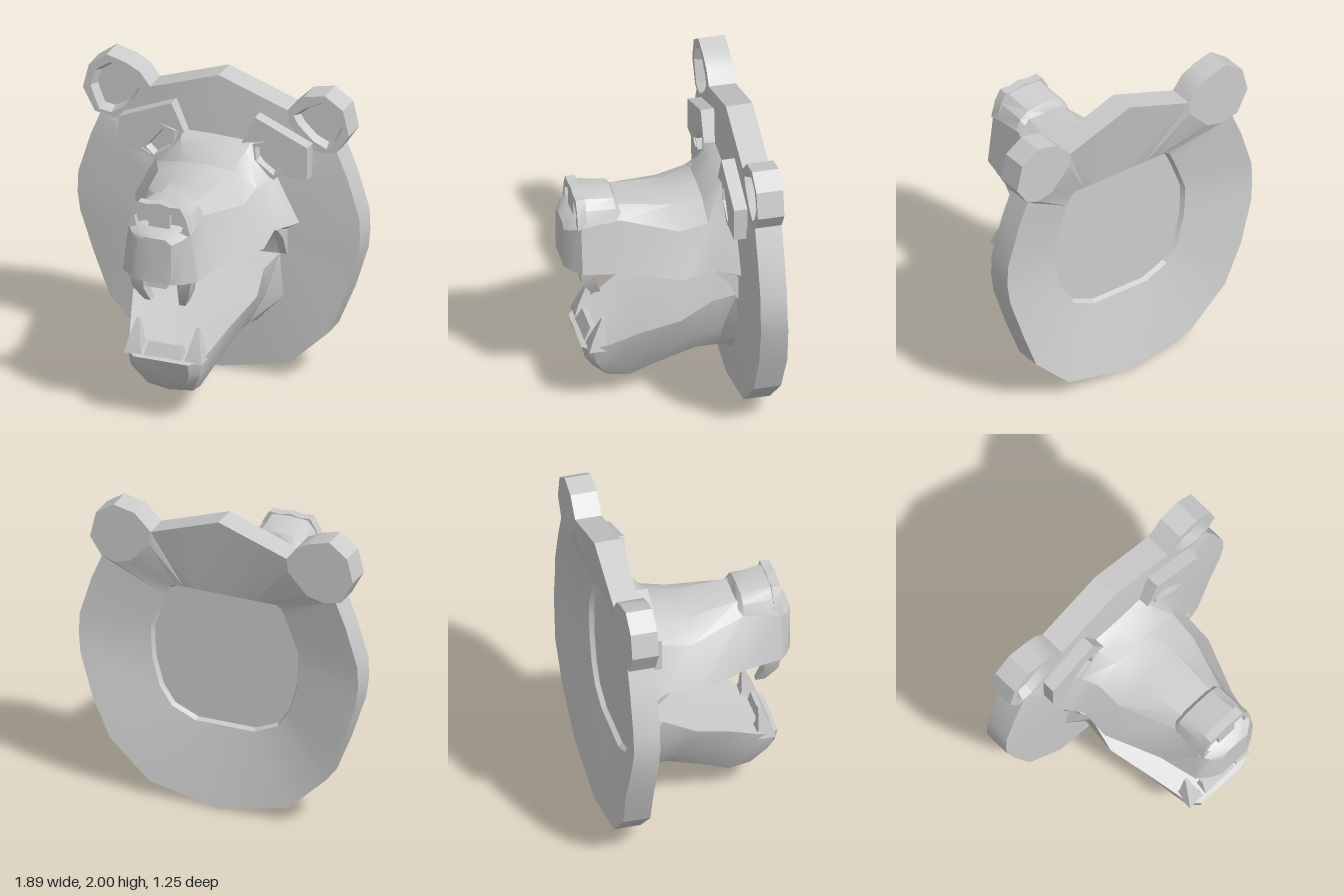
import * as THREE from 'three';
import { toCreasedNormals } from 'three/addons/utils/BufferGeometryUtils.js';

const material = new THREE.MeshStandardMaterial({ color: 0xcccccc, side: THREE.DoubleSide });

function addMesh(group, name, geometry, crease = 0.55) {
  const mesh = new THREE.Mesh(toCreasedNormals(geometry, crease), material);
  mesh.name = name;
  group.add(mesh);
}

const centre = loop => [0, 1, 2].map(k => loop.reduce((s, p) => s + p[k], 0) / loop.length);

// Skin closed loops of [x, y, z] points and cap both ends; faces are turned outward.
function loft(loops) {
  const n = loops[0].length;
  const tris = [];
  for (let i = 0; i < loops.length - 1; i++) {
    for (let j = 0; j < n; j++) {
      const k = (j + 1) % n, a = loops[i], b = loops[i + 1];
      tris.push([a[j], a[k], b[k]], [a[j], b[k], b[j]]);
    }
  }
  const first = loops[0], last = loops[loops.length - 1];
  const c0 = centre(first), c1 = centre(last);
  for (let j = 0; j < n; j++) {
    const k = (j + 1) % n;
    tris.push([c0, first[k], first[j]], [c1, last[j], last[k]]);
  }
  let volume = 0;
  for (const [a, b, c] of tris) {
    volume += a[0] * (b[1] * c[2] - b[2] * c[1]) - a[1] * (b[0] * c[2] - b[2] * c[0]) + a[2] * (b[0] * c[1] - b[1] * c[0]);
  }
  if (volume < 0) tris.forEach(t => t.reverse());
  const geometry = new THREE.BufferGeometry();
  geometry.setAttribute('position', new THREE.Float32BufferAttribute(tris.flat(2), 3));
  geometry.computeVertexNormals();
  return geometry;
}

// Complete a half section (first and last points on the centre line).
const mirror = half => [...half, ...half.slice(1, -1).reverse().map(([x, y, z]) => [-x, y, z])];
const flip = (points, side) => points.map(([x, y]) => [x * side, y]);
const level = (points, z) => points.map(([x, y]) => [x, y, z]);
const atZ = (z, half) => mirror(level(half, z));
const quad = (x0, x1, y, z0, z1) => [[x0, y, z0], [x1, y, z0], [x1, y, z1], [x0, y, z1]];

// Flat outline with optional holes, extruded from z0 to z1.
function slab(points, z0, z1, holes = []) {
  const vectors = list => list.map(([x, y]) => new THREE.Vector2(x, y));
  const shape = new THREE.Shape(vectors(points));
  holes.forEach(h => shape.holes.push(new THREE.Path(vectors(h))));
  return new THREE.ExtrudeGeometry(shape, { depth: z1 - z0, bevelEnabled: false }).translate(0, 0, z0);
}

// Solid outline whose front sinks through sloping walls to a smaller floor.
function hollow(outer, inner, back, front, floor) {
  const c = centre(level(inner, 0));
  const bottom = inner.map(p => [0, 1].map(k => c[k] + (p[k] - c[k]) * 0.85));
  return loft([level(outer, back), level(outer, front), level(inner, front), level(bottom, floor)]);
}

export function createModel() {
  const group = new THREE.Group();

  // Head plate, notched where the ears sit and dished at the back
  const rim = [[0, 1.99], [0.46, 1.83], [0.47, 1.74], [0.6, 1.6], [0.71, 1.575], [0.79, 1.6], [0.86, 1.43],
    [0.94, 1.17], [0.945, 1.03], [0.93, 0.9], [0.84, 0.62], [0.73, 0.35], [0.47, 0.1], [0, 0]];
  const dish = [[0, 1.44], [0.19, 1.44], [0.28, 1.44], [0.35, 1.44], [0.38, 1.42], [0.41, 1.36], [0.45, 1.26],
    [0.5, 1.12], [0.5, 1.03], [0.49, 0.9], [0.44, 0.72], [0.36, 0.6], [0.2, 0.53], [0, 0.53]];
  const sag = y => (y > 0.5 && y < 0.8 ? 0.025 : y > 0.3 && y < 0.95 ? 0.01 : 0);
  const ring = (s, z, sagging) => mirror(rim.map(([x, y]) => [x * s, 1.02 + (y - 1.02) * s, z - sagging * sag(y)]));
  const floor = dish.map(([x, y]) => [x * 0.97, 1 + (y - 1) * 0.97]);
  addMesh(group, 'headPlate', loft([
    ring(0.6, -0.4, 0), ring(1, -0.43, 0.6), ring(1, -0.6, 1), atZ(-0.5, dish), atZ(-0.47, floor),
  ]), 0.35);

  // Ears with a sunken front
  addMesh(group, 'leftEar', hollow(
    [[0.46, 1.83], [0.57, 1.94], [0.71, 1.97], [0.83, 1.89], [0.87, 1.72], [0.79, 1.6], [0.71, 1.575], [0.6, 1.6], [0.47, 1.74]],
    [[0.5, 1.8], [0.57, 1.86], [0.69, 1.92], [0.78, 1.88], [0.83, 1.77], [0.78, 1.66], [0.72, 1.61], [0.63, 1.65], [0.53, 1.745]],
    -0.6, -0.43, -0.49));
  addMesh(group, 'rightEar', hollow(
    [[-0.46, 1.83], [-0.53, 1.92], [-0.62, 1.965], [-0.75, 2], [-0.87, 1.91], [-0.91, 1.75], [-0.83, 1.6], [-0.71, 1.575], [-0.6, 1.6], [-0.47, 1.74]],
    [[-0.53, 1.8], [-0.56, 1.85], [-0.64, 1.92], [-0.73, 1.95], [-0.83, 1.88], [-0.86, 1.77], [-0.8, 1.62], [-0.72, 1.61], [-0.63, 1.66], [-0.57, 1.73]],
    -0.6, -0.43, -0.49));

  // Upper muzzle, from the face forward to the lip
  addMesh(group, 'upperMuzzle', loft([
    atZ(-0.42, [[0, 1.61], [0.23, 1.6], [0.4, 1.4], [0.56, 1.09], [0.47, 1.03], [0, 1.03]]),
    atZ(-0.34, [[0, 1.57], [0.22, 1.55], [0.38, 1.38], [0.52, 1.09], [0.46, 1.05], [0, 1.06]]),
    atZ(-0.24, [[0, 1.46], [0.16, 1.45], [0.33, 1.36], [0.45, 1.09], [0.42, 1.08], [0, 1.09]]),
    atZ(-0.06, [[0, 1.42], [0.15, 1.41], [0.32, 1.32], [0.45, 1.04], [0.4, 1.04], [0, 1.08]]),
    atZ(0.29, [[0, 1.45], [0.12, 1.45], [0.2, 1.38], [0.31, 1.05], [0.26, 1.05], [0, 1.07]]),
    atZ(0.54, [[0, 1.39], [0.12, 1.39], [0.21, 1.36], [0.25, 1.04], [0.21, 1.03], [0, 1.04]]),
    atZ(0.59, [[0, 1.36], [0.1, 1.36], [0.17, 1.33], [0.18, 1.03], [0.14, 1.03], [0, 1.03]]),
    atZ(0.628, [[0, 1.33], [0.07, 1.33], [0.11, 1.3], [0.11, 1.03], [0.08, 1.03], [0, 1.03]]),
  ]));

  // Nose: solid bridge and a front pierced by the nostrils
  addMesh(group, 'noseBridge', loft([
    atZ(0.28, [[0, 1.45], [0.1, 1.45], [0.16, 1.42], [0.18, 1.38], [0, 1.36]]),
    atZ(0.31, [[0, 1.5], [0.11, 1.49], [0.17, 1.45], [0.2, 1.38], [0, 1.36]]),
    atZ(0.525, [[0, 1.53], [0.12, 1.52], [0.17, 1.46], [0.21, 1.36], [0, 1.35]]),
  ]));
  const nostril = [[0.07, 1.37], [0.07, 1.48], [0.13, 1.47], [0.165, 1.43], [0.15, 1.37]];
  const noseFront = [[0, 1.54], [0.07, 1.525], [0.14, 1.53], [0.18, 1.46], [0.21, 1.35], [0, 1.34]];
  addMesh(group, 'noseTip', slab(mirror(noseFront), 0.5, 0.56, [nostril, flip(nostril, -1)]));

  // Lower jaw, from the throat forward to the chin
  addMesh(group, 'lowerJaw', loft([
    [[0, 0.84, -0.42], [0.42, 0.86, -0.4], [0.47, 0.59, -0.42], [0.27, 0.37, -0.42], [0, 0.36, -0.42]],
    [[0, 0.78, -0.28], [0.37, 0.8, -0.26], [0.35, 0.58, -0.33], [0.24, 0.38, -0.33], [0, 0.375, -0.33]],
    [[0, 0.69, -0.05], [0.41, 0.71, -0.05], [0.33, 0.52, -0.1], [0.21, 0.36, -0.19], [0, 0.355, -0.19]],
    [[0, 0.58, 0.17], [0.33, 0.6, 0.2], [0.29, 0.43, 0.14], [0.17, 0.25, 0.07], [0, 0.24, 0.07]],
    [[0, 0.49, 0.36], [0.27, 0.5, 0.38], [0.25, 0.36, 0.33], [0.14, 0.17, 0.22], [0, 0.14, 0.23]],
    [[0, 0.46, 0.5], [0.24, 0.46, 0.48], [0.23, 0.35, 0.45], [0.15, 0.2, 0.36], [0, 0.19, 0.38]],
    [[0, 0.45, 0.53], [0.18, 0.45, 0.53], [0.18, 0.37, 0.51], [0.13, 0.26, 0.44], [0, 0.25, 0.44]],
  ].map(mirror)));

  // Throat curving from the palate down to the jaw
  const throat = [[-0.42, 0.83], [-0.4, 0.84], [-0.385, 0.93], [-0.34, 1.02], [-0.25, 1.085], [-0.42, 1.09]];
  addMesh(group, 'throat', loft([-0.42, 0.42].map(x => throat.map(([z, y]) => [x, y, z]))));

  // Incisor rows
  addMesh(group, 'upperIncisors', loft([quad(-0.08, 0.08, 1.04, 0.54, 0.61), quad(-0.07, 0.07, 0.99, 0.57, 0.615)]));
  addMesh(group, 'lowerIncisors', loft([quad(-0.13, 0.13, 0.44, 0.41, 0.51), quad(-0.11, 0.11, 0.54, 0.43, 0.46)]));

  // Brow, eye and mouth corner outlines for one side
  const brow = [[0.63, 1.64], [0.28, 1.79], [0.19, 1.6], [0.35, 1.64], [0.48, 1.45], [0.42, 1.42], [0.63, 1.42]];
  const eyeOuter = [[0.48, 1.45], [0.36, 1.635], [0.26, 1.6], [0.28, 1.44], [0.4, 1.38]];
  const eyeInner = [[0.455, 1.46], [0.345, 1.6], [0.275, 1.58], [0.285, 1.49], [0.4, 1.41]];
  const mouthCorner = [[-0.42, 0.84], [-0.39, 0.87], [-0.33, 1.0], [-0.24, 1.09], [-0.42, 1.1]];
  for (const side of [1, -1]) {
    const name = side > 0 ? 'left' : 'right';
    const place = loops => loft(loops.map(loop => loop.map(([x, y, z]) => [x * side, y, z])));

    addMesh(group, name + 'Brow', slab(flip(brow, side), -0.42, -0.335));
    addMesh(group, name + 'Eye', hollow(flip(eyeOuter, side), flip(eyeInner, side), -0.42, -0.345, -0.39));

    // Flesh joining the jaws at the corner of the mouth
    addMesh(group, name + 'MouthCorner', place([0.42, 0.47].map(x => mouthCorner.map(([z, y]) => [x, y, z]))));

    // Canines
    addMesh(group, name + 'UpperCanine', place([
      quad(0.11, 0.21, 1.05, 0.43, 0.55), quad(0.115, 0.19, 0.93, 0.44, 0.53), quad(0.095, 0.135, 0.82, 0.4, 0.46),
    ]));
    addMesh(group, name + 'LowerCanine', place([
      quad(0.14, 0.26, 0.45, 0.36, 0.5), quad(0.16, 0.245, 0.52, 0.39, 0.475), quad(0.19, 0.21, 0.66, 0.395, 0.41),
    ]));
  }
  return group;
}
